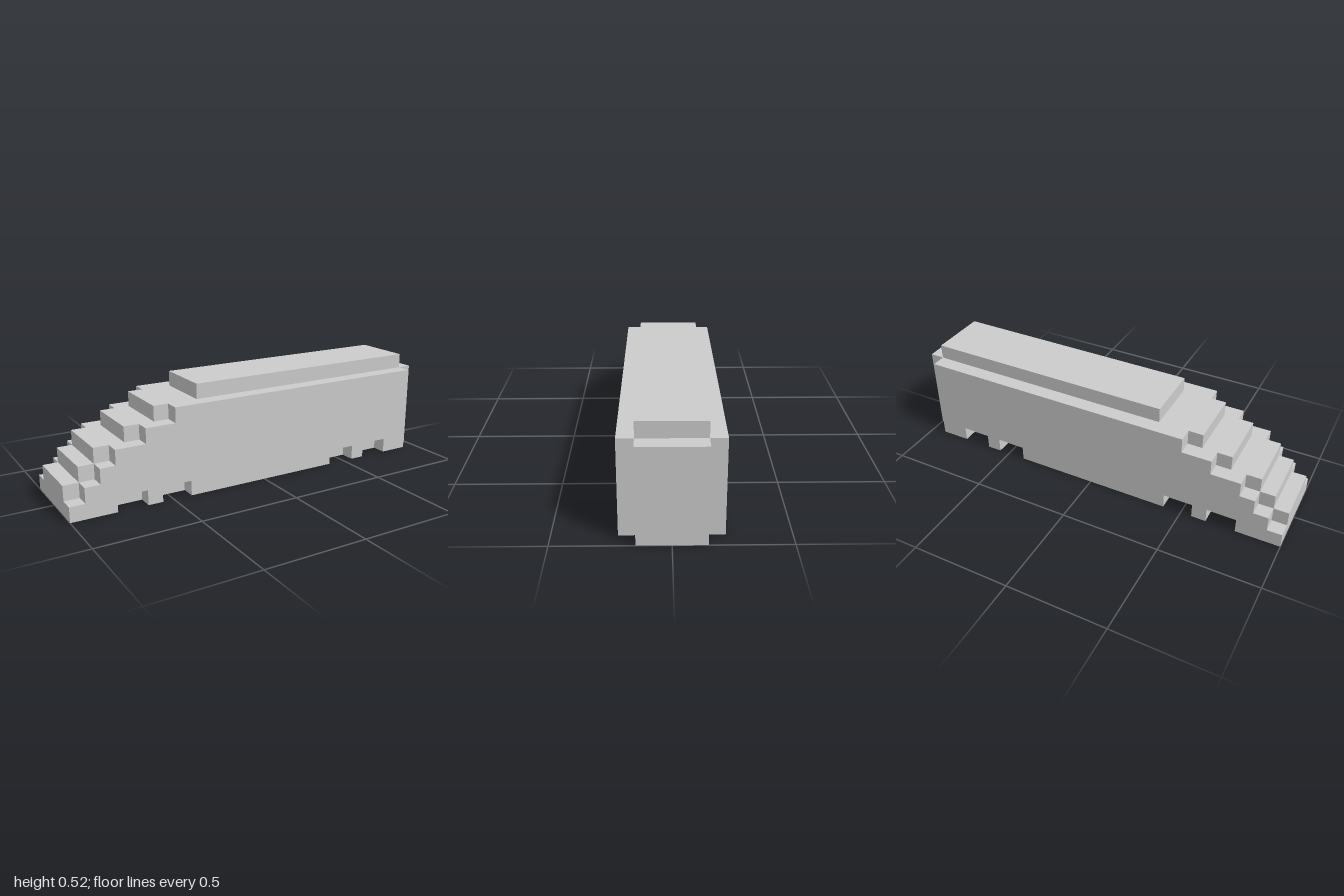
import * as THREE from 'three';

const U = 2 / 27; // one block unit
const material = new THREE.MeshStandardMaterial({ color: 0xcccccc, flatShading: true });

// Extrude a side profile, given in block units, between two depths z0 and z1
function slab(name, points, z0, z1) {
  const shape = new THREE.Shape(points.map(([x, y]) => new THREE.Vector2((x - 13.5) * U, y * U)));
  const geometry = new THREE.ExtrudeGeometry(shape, { depth: (z1 - z0) * U, bevelEnabled: false });
  geometry.translate(0, 0, z0 * U);
  const mesh = new THREE.Mesh(geometry, material);
  mesh.name = name;
  return mesh;
}

// Staircase outline: each step is [start x, height], ending at x = end
function stairs(steps, end) {
  const points = [];
  steps.forEach(([x, y], i) => {
    points.push([x, y], [i + 1 < steps.length ? steps[i + 1][0] : end, y]);
  });
  return points;
}

export function createModel() {
  const group = new THREE.Group();
  group.name = 'steppedVehicle';

  // Central body with stepped nose, raised roof and narrow rear end
  const bodySteps = [[0, 2], [1, 3], [2, 4], [4, 5], [6, 6], [9, 7], [26, 6]];
  group.add(slab('centralBody', [[0, 0], ...stairs(bodySteps, 27), [27, 0]], -2, 2));

  // Side panels with lower steps and wheel notches along the bottom edge
  const sideSteps = [[0, 1], [1, 2], [2, 3], [3, 4], [5, 5], [7, 6]];
  const notches = [22, 19, 6, 3].flatMap((x) => [[x + 2, 0], [x + 2, 1], [x, 1], [x, 0]]);
  const sideProfile = [[0, 0], ...stairs(sideSteps, 26), [26, 0], ...notches];
  group.add(slab('frontSidePanel', sideProfile, 2, 3));
  group.add(slab('backSidePanel', sideProfile, -3, -2));

  return group;
}
